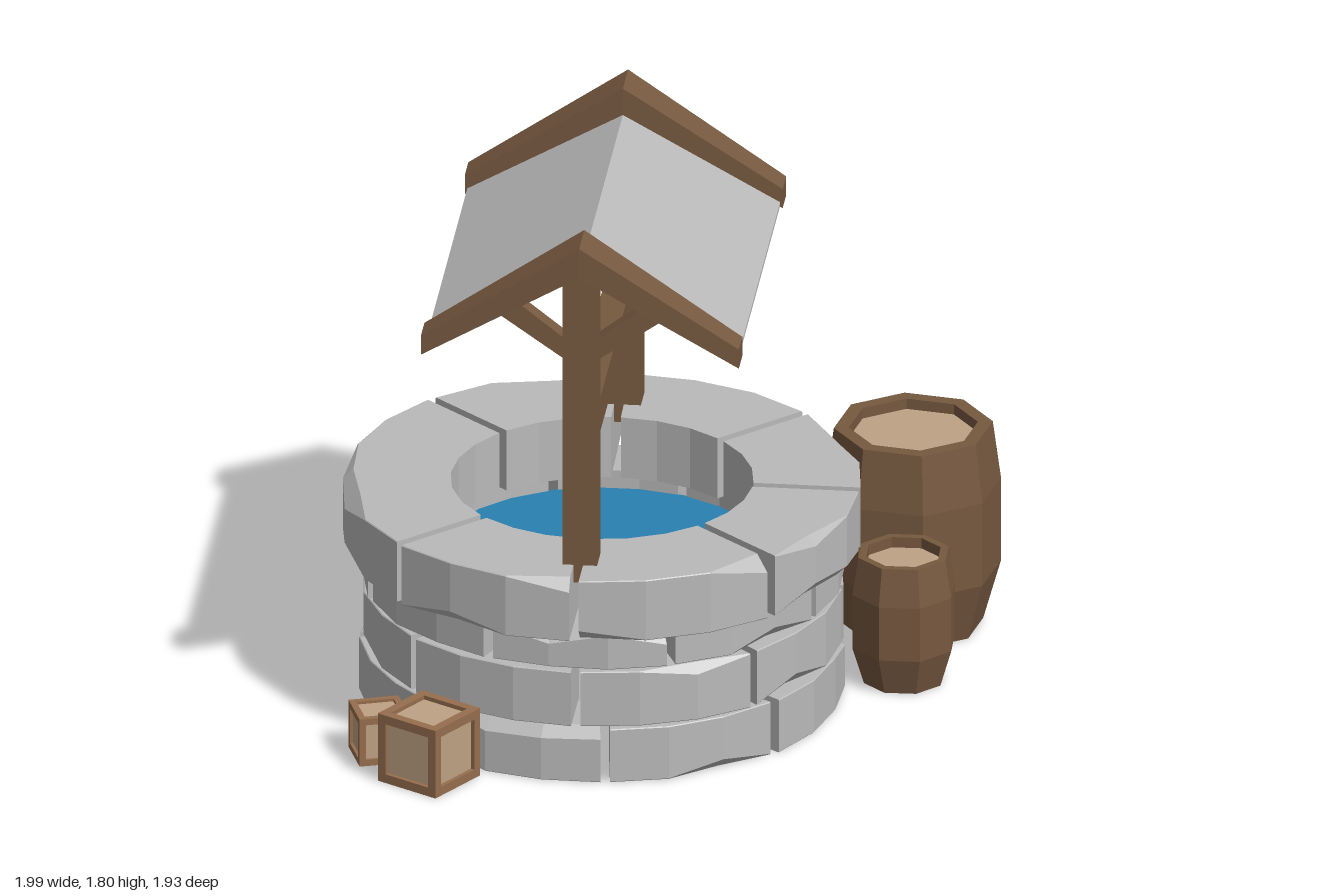
import * as THREE from 'three';

const paint = (name, color) => {
  const m = new THREE.MeshStandardMaterial({ color, flatShading: true });
  m.name = name;
  return m;
};
const stone = paint('stone grey', 0xbababa);
const wood = paint('dark wood', 0x775940);
const crateWood = paint('crate wood', 0x966e4e);
const panelWood = paint('pale wood', 0xbea284);
const water = paint('water blue', 0x2980b0);

const CX = -0.185, CZ = 0.03; // centre of the well

let seed = 11;
const rand = () => (seed = (seed * 16807) % 2147483647) / 2147483647;

function add(parent, name, geometry, material, x = 0, y = 0, z = 0) {
  const mesh = new THREE.Mesh(geometry, material);
  mesh.name = name;
  mesh.position.set(x, y, z);
  parent.add(mesh);
  return mesh;
}

// Flat polygon in x/y extruded along z and centred on it
function plank(points, depth) {
  const shape = new THREE.Shape(points.map(p => new THREE.Vector2(...p)));
  return new THREE.ExtrudeGeometry(shape, { depth, bevelEnabled: false }).translate(0, 0, -depth / 2);
}

// Curved stone block between two angles, with small chips on its outer edges
function stoneBlock(ri, ro, y0, y1, a0, a1, gap) {
  const steps = Math.max(3, Math.round((a1 - a0) / 15));
  const pos = [], index = [], n = 6;
  for (let j = 0; j <= steps; j++) {
    const chip = () => (rand() < 0.14 ? 0.03 + 0.02 * rand() : 0.003);
    const ct = chip(), cb = chip();
    const r = ro - 0.012 * rand();
    const section = [[ri, y0], [r - cb, y0], [r, y0 + cb], [r, y1 - ct], [r - ct, y1], [ri, y1]];
    for (const [rad, y] of section) {
      const trim = gap / 2 / rad; // keeps the joint the same width all the way in
      const s = THREE.MathUtils.degToRad(a0) + trim, e = THREE.MathUtils.degToRad(a1) - trim;
      const a = s + (e - s) * j / steps;
      pos.push(rad * Math.cos(a), y, rad * Math.sin(a));
    }
  }
  for (let j = 0; j < steps; j++)
    for (let i = 0; i < n; i++) {
      const a = j * n + i, b = j * n + (i + 1) % n;
      index.push(a, b, b + n, a, b + n, a + n);
    }
  const last = steps * n;
  for (let i = 1; i < n - 1; i++) index.push(0, i + 1, i, last, last + i, last + i + 1);
  const g = new THREE.BufferGeometry();
  g.setAttribute('position', new THREE.Float32BufferAttribute(pos, 3));
  g.setIndex(index);
  g.computeVertexNormals();
  return g;
}

function ring(parent, name, ri, ro, y0, y1, seams) {
  const g = new THREE.Group();
  g.name = name;
  g.position.set(CX, 0, CZ);
  seams.forEach((a, i) => {
    const next = i + 1 < seams.length ? seams[i + 1] : seams[0] + 360;
    add(g, 'stoneBlock', stoneBlock(ri, ro, y0, y1, a, next, 0.03), stone);
  });
  parent.add(g);
}

// Eight-sided barrel with a sunken lid
function barrel(parent, name, x, z, r, h, turn, rTop, rLid, rBase) {
  const g = new THREE.Group();
  g.name = name;
  g.position.set(x, 0, z);
  const profile = [[0, 0], [rBase, 0], [r, h * 0.29], [r, h * 0.71], [rTop, h], [rLid, h], [rLid, h - 0.06]]
    .map(p => new THREE.Vector2(...p));
  const phi = THREE.MathUtils.degToRad(turn);
  add(g, 'staves', new THREE.LatheGeometry(profile, 8, phi), wood);
  add(g, 'lid', new THREE.CylinderGeometry(rLid, rLid, 0.01, 8, 1, false, phi), panelWood, 0, h - 0.04, 0);
  parent.add(g);
}

// Cubic crate: twelve beams around a recessed core
function crate(parent, name, x, z, s, h, turn) {
  const g = new THREE.Group();
  g.name = name;
  g.position.set(x, h / 2, z);
  g.rotation.y = turn;
  const t = s * 0.13, o = (s - t) / 2, oy = (h - t) / 2;
  for (const a of [-1, 1])
    for (const b of [-1, 1]) {
      add(g, 'upright', new THREE.BoxGeometry(t, h, t), crateWood, a * o, 0, b * o);
      add(g, 'sideBeam', new THREE.BoxGeometry(s - 2 * t, t, t), crateWood, 0, a * oy, b * o);
      add(g, 'endBeam', new THREE.BoxGeometry(t, t, s - 2 * t), crateWood, a * o, b * oy, 0);
    }
  const inset = s * 0.12;
  add(g, 'panels', new THREE.BoxGeometry(s - inset, h - inset, s - inset), panelWood);
  parent.add(g);
}

export function createModel() {
  const model = new THREE.Group();
  model.name = 'well';

  // Stone wall in four courses, the top one wider
  const even = start => Array.from({ length: 8 }, (_, i) => start + i * 45);
  ring(model, 'bottomCourse', 0.53, 0.76, 0, 0.18, even(-7));
  ring(model, 'secondCourse', 0.53, 0.76, 0.19, 0.375, even(0));
  ring(model, 'thirdCourse', 0.53, 0.76, 0.387, 0.505, even(22));
  ring(model, 'rimCourse', 0.475, 0.82, 0.505, 0.71, [-137, -91, -45, 0, 43, 90, 135]);
  add(model, 'water', new THREE.CylinderGeometry(0.535, 0.535, 0.01, 32), water, CX, 0.44, CZ);

  // Roof frame at each end: post, gable rafters and braces
  const X = -0.18;
  for (const [end, z] of [['front', 0.66], ['back', -0.595]]) {
    const frame = new THREE.Group();
    frame.name = end + 'Frame';
    frame.position.set(X, 0, z);
    add(frame, 'post', new THREE.BoxGeometry(0.108, 1.07, 0.1), wood, 0, 1.185, 0);
    const rafters = plank([[0, 1.8], [-0.5, 1.47], [-0.5, 1.405], [0, 1.7], [0.5, 1.405], [0.5, 1.47]], 0.15);
    const p = rafters.attributes.position;
    for (let i = 0; i < p.count; i++) p.setZ(i, p.getZ(i) * (1 - 0.66 * Math.abs(p.getX(i))));
    add(frame, 'rafters', rafters, wood);
    for (const s of [-1, 1]) {
      const brace = [[0.04, 1.395], [0.27, 1.555], [0.2, 1.59], [0.04, 1.465]].map(([x, y]) => [s * x, y]);
      add(frame, 'brace', plank(brace, 0.06), wood);
    }
    model.add(frame);
  }
  add(model, 'crossbeam', new THREE.BoxGeometry(0.085, 0.115, 1.18), wood, X, 1.14, 0.0325);

  // Thin roof sheet slung between the rafters
  const roof = plank([[0, 1.71], [-0.492, 1.425], [-0.492, 1.412], [0, 1.698], [0.492, 1.412], [0.492, 1.425]], 1.22);
  add(model, 'roofSheet', roof, stone, X, 0, 0.0325);

  // Barrels and crates around the wall
  barrel(model, 'largeBarrel', 0.727, -0.58, 0.276, 0.67, 12.5, 0.25, 0.203, 0.22);
  barrel(model, 'smallBarrel', 0.745, -0.135, 0.168, 0.43, 24, 0.148, 0.122, 0.13);
  crate(model, 'largeCrate', 0.335, -0.785, 0.33, 0.34, -0.146);
  crate(model, 'mediumCrate', -0.645, 0.8, 0.228, 0.23, -0.55);
  crate(model, 'smallCrate', -0.82, 0.635, 0.16, 0.16, 0.33);

  return model;
}
